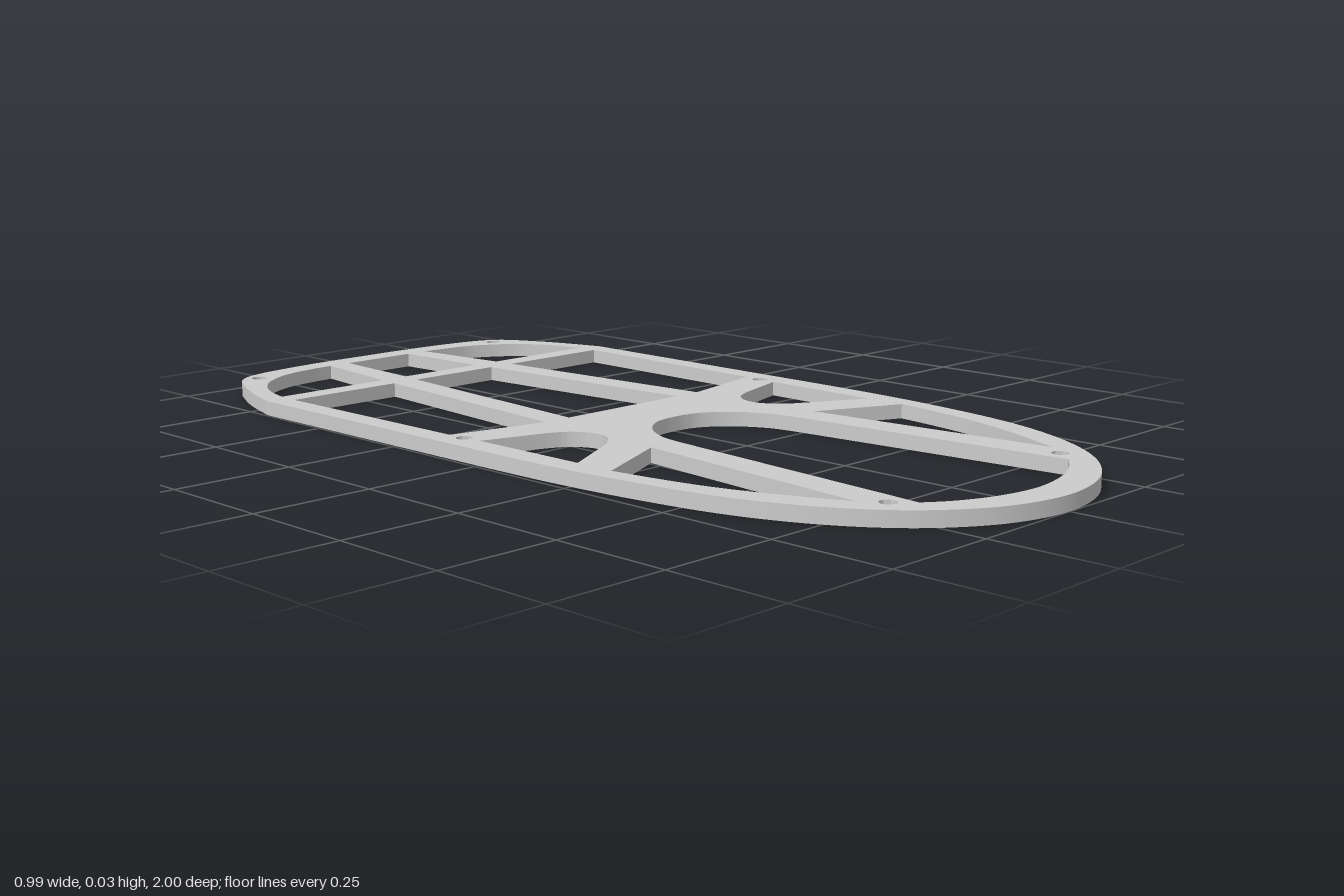
import * as THREE from 'three';
import { toCreasedNormals } from 'three/addons/utils/BufferGeometryUtils.js';

const THICKNESS = 0.031;
const mirror = (pts) => pts.map(([x, z]) => [-x, z]);
// Right half, ending on or near the centre line, continued by its mirror image
const symmetric = (pts) => {
  const onAxis = pts[pts.length - 1][0] === 0;
  return [...pts, ...mirror(onAxis ? pts.slice(0, -1) : pts).reverse()];
};
// Smooth curve through a few [x, z] points
const curve = (pts, n = 8) =>
  new THREE.SplineCurve(pts.map((p) => new THREE.Vector2(...p)))
    .getPoints((pts.length - 1) * n).map((p) => [p.x, p.y]);
const vectors = (pts) => pts.map((p) => new THREE.Vector2(...p));

export function createModel() {
  // Outer rim: rounded rear, straight sides, elliptical front
  const front = curve(symmetric([
    [0.491, 0.02], [0.486, 0.2], [0.47, 0.38], [0.44, 0.56], [0.393, 0.7],
    [0.325, 0.82], [0.24, 0.91], [0.13, 0.975], [0, 1],
  ]));
  const rear = curve(symmetric([
    [0.496, -0.69], [0.466, -0.79], [0.43, -0.875], [0.392, -0.94],
    [0.335, -0.974], [0.23, -0.992], [0.11, -1], [0, -1],
  ])).reverse();
  const plate = new THREE.Shape(vectors([...front, ...rear]));

  // Windows on the centre line
  const centreWindows = [
    symmetric([[0.09, -0.945], [0.105, -0.71]]),
    symmetric([[0.112, -0.66], [0.16, -0.1]]),
    [
      ...curve(symmetric([[0.17, 0.22], [0.157, 0.163], [0.118, 0.1], [0.063, 0.06], [0, 0.05]])),
      ...curve(symmetric([[0.23, 0.848], [0.175, 0.885], [0.095, 0.917], [0, 0.931]])).reverse(),
    ],
  ];

  // Windows repeated on both sides
  const sideWindows = [
    // rear corner
    [[0.17, -0.71], ...curve([
      [0.445, -0.71], [0.42, -0.795], [0.365, -0.873], [0.285, -0.923], [0.205, -0.94], [0.143, -0.945]])],
    // long side
    [[0.175, -0.66], [0.447, -0.66], [0.44, -0.145], [0.225, -0.1]],
    // rounded notch between the side arms
    [[0.435, -0.06], ...curve([
      [0.3, -0.021], [0.256, 0.002], [0.23, 0.045], [0.237, 0.092], [0.28, 0.135]]), [0.432, 0.215]],
    // front side
    [[0.243, 0.22], ...curve([
      [0.433, 0.305], [0.418, 0.41], [0.395, 0.52], [0.355, 0.64], [0.298, 0.77]])],
  ];
  for (const w of [...centreWindows, ...sideWindows, ...sideWindows.map(mirror)])
    plate.holes.push(new THREE.Path(vectors(w)));

  // Screw holes
  for (const [x, z] of [[0.352, -0.932], [0.438, -0.103], [0.265, 0.808]])
    for (const side of [1, -1]) {
      const ring = new THREE.Path().absarc(side * x, z, 0.017, 0, Math.PI * 2, true);
      plate.holes.push(ring);
    }

  const extruded = new THREE.ExtrudeGeometry(plate, {
    depth: THICKNESS, bevelEnabled: false, curveSegments: 12,
  });
  // Lay the plate flat on the ground
  extruded.rotateX(Math.PI / 2).translate(0, THICKNESS, 0);

  const mesh = new THREE.Mesh(
    toCreasedNormals(extruded, 0.6),
    new THREE.MeshStandardMaterial({ color: 0xcccccc }),
  );
  mesh.name = 'framePlate';
  const group = new THREE.Group();
  group.name = 'ribbedPlate';
  group.add(mesh);
  return group;
}
